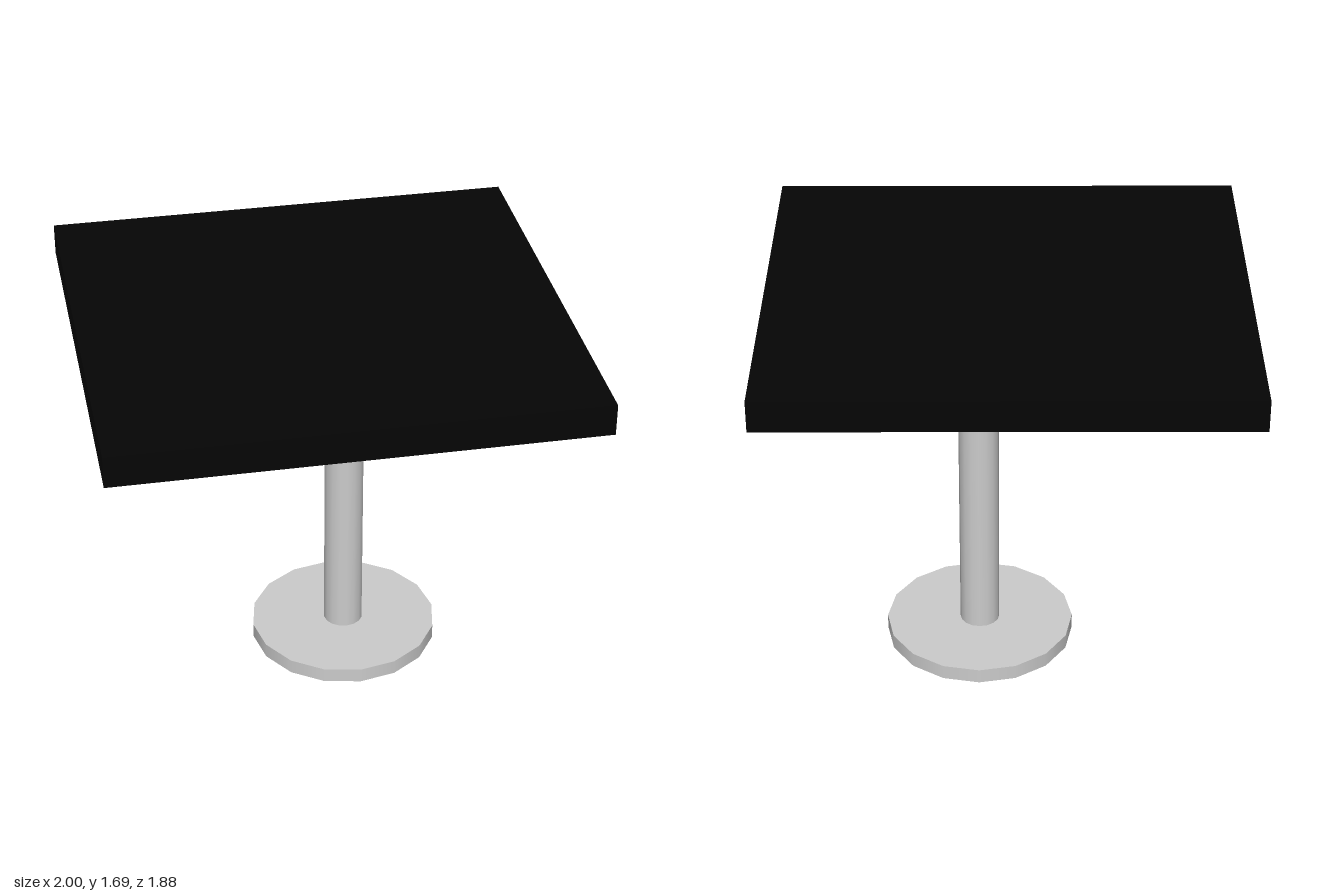
import * as THREE from 'three';

const grey = new THREE.MeshStandardMaterial({ color: 0xcccccc });
const black = new THREE.MeshStandardMaterial({ color: 0x050505 });

function part(name, geometry, material, x, y, z) {
  const mesh = new THREE.Mesh(geometry, material);
  mesh.name = name;
  mesh.position.set(x, y, z);
  return mesh;
}

// Upright disc or post standing between two heights
function post(name, radius, bottom, top, x, z) {
  const geometry = new THREE.CylinderGeometry(radius, radius, top - bottom, 16);
  return part(name, geometry, grey, x, (bottom + top) / 2, z);
}

export function createModel() {
  const group = new THREE.Group();
  group.name = 'pedestalTable';

  // The pedestal stands slightly off the centre of the top
  const px = 0.123, pz = -0.06;
  group.add(post('base', 0.41, 0, 0.065, px, pz));
  group.add(post('column', 0.086, 0.06, 1.547, px, pz));

  // Thick slab top, a hair above the column
  group.add(part('tableTop', new THREE.BoxGeometry(2, 0.135, 1.88), black, 0, 1.627, 0));

  return group;
}
